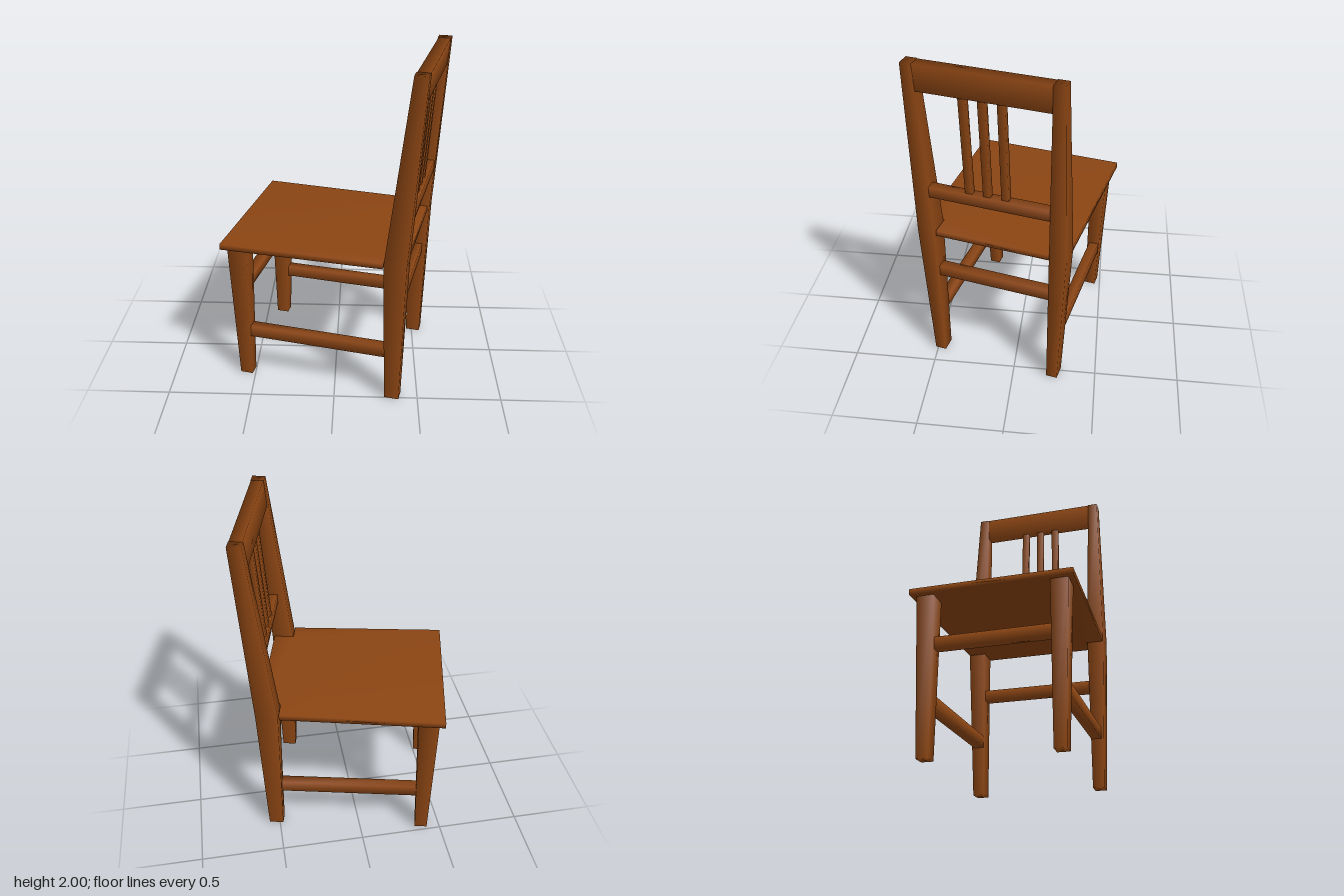
import * as THREE from 'three';
import { mergeVertices } from 'three/addons/utils/BufferGeometryUtils.js';

const wood = new THREE.MeshStandardMaterial({ color: 0x8b4513 });

// Share corner vertices so shading runs softly over the edges
function soften(geometry) {
  geometry.deleteAttribute('uv');
  geometry.deleteAttribute('normal');
  const merged = mergeVertices(geometry, 1e-4);
  merged.computeVertexNormals();
  return merged;
}

function addMesh(parent, name, geometry) {
  const mesh = new THREE.Mesh(soften(geometry), wood);
  mesh.name = name;
  parent.add(mesh);
  return mesh;
}

// Square timber through sections [y, x, z, width, depth], bottom to top
function timber(sections) {
  const n = sections.length - 1;
  const geometry = new THREE.BoxGeometry(1, 1, 1, 1, n, 1);
  const p = geometry.attributes.position;
  for (let i = 0; i < p.count; i++) {
    const [y, x, z, w, d] = sections[Math.round((p.getY(i) + 0.5) * n)];
    p.setXYZ(i, x + p.getX(i) * w, y, z + p.getZ(i) * d);
  }
  return geometry;
}

// Straight bar given by its limits on each axis
function bar(x0, x1, y0, y1, z0, z1) {
  return new THREE.BoxGeometry(x1 - x0, y1 - y0, z1 - z0)
    .translate((x0 + x1) / 2, (y0 + y1) / 2, (z0 + z1) / 2);
}

export function createModel() {
  const chair = new THREE.Group();
  chair.name = 'chair';

  // Seat: tapered board with a tongue between the back posts
  const outline = [
    [-0.568, -0.4615], [0.378, -0.44], [0.378, -0.337], [0.5, -0.337],
    [0.5, 0.337], [0.378, 0.337], [0.378, 0.44], [-0.568, 0.4615],
  ].map(([x, z]) => new THREE.Vector2(x, -z));
  const seat = new THREE.ExtrudeGeometry(new THREE.Shape(outline), { depth: 0.035, bevelEnabled: false });
  addMesh(chair, 'seat', seat.rotateX(-Math.PI / 2).translate(0, 0.906, 0));

  for (const s of [-1, 1]) {
    // Back leg and post in one piece, bent at the seat and leaning back
    addMesh(chair, 'backPost', timber([
      [0, 0.447, s * 0.369, 0.087, 0.067],
      [0.93, 0.448, s * 0.393, 0.13, 0.1],
      [2, 0.541, s * 0.396, 0.076, 0.062],
    ]));
    // Front leg, tapering to the floor
    addMesh(chair, 'frontLeg', timber([
      [0, -0.478, s * 0.358, 0.076, 0.067],
      [0.908, -0.477, s * 0.379, 0.12, 0.1],
    ]));
    addMesh(chair, 'sideStretcher', bar(-0.435, 0.412, 0.29, 0.36, s * 0.37 - 0.03, s * 0.37 + 0.03));
  }

  // Cross stretchers
  addMesh(chair, 'frontStretcher', bar(-0.5, -0.44, 0.6, 0.667, -0.34, 0.34));
  addMesh(chair, 'backStretcher', bar(0.42, 0.48, 0.6, 0.667, -0.346, 0.346));

  // Back rails
  addMesh(chair, 'lowerBackRail', bar(0.467, 0.527, 1.187, 1.25, -0.35, 0.35));
  addMesh(chair, 'crestRail', timber([
    [1.845, 0.529, 0, 0.07, 0.74],
    [1.999, 0.542, 0, 0.07, 0.74],
  ]));

  // Upright slats
  for (const i of [-1, 0, 1]) {
    const z = 0.013 + i * 0.105;
    addMesh(chair, 'slat', timber([
      [1.24, 0.492, z, 0.035, 0.042],
      [1.86, 0.532, z, 0.035, 0.042],
    ]));
  }

  // The chair stands turned, facing mostly to -x
  chair.rotation.y = -0.2235;
  chair.position.set(-0.003, 0, 0.014);
  const model = new THREE.Group();
  model.name = 'turnedChair';
  model.add(chair);
  return model;
}
